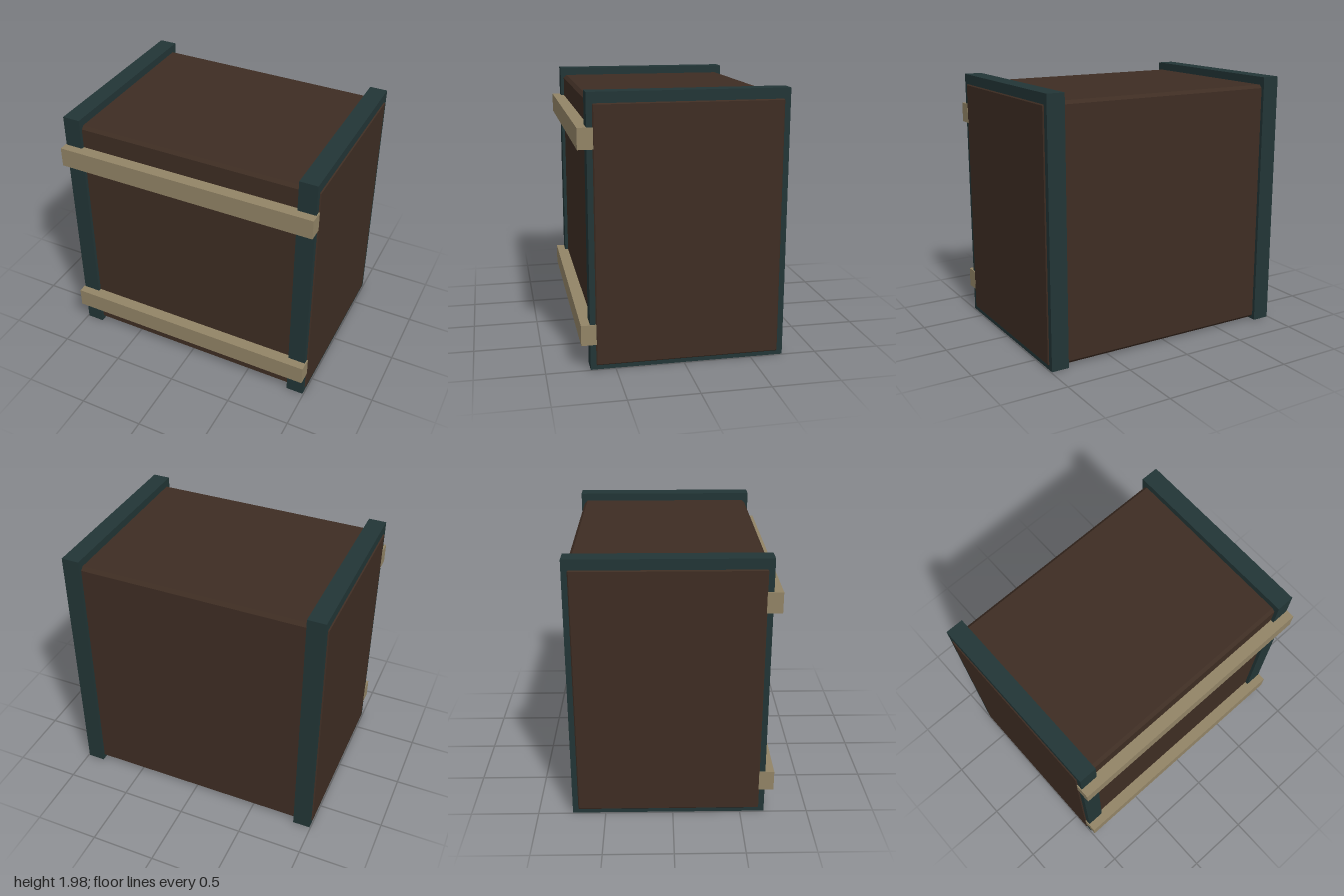
import * as THREE from 'three';
import { ConvexGeometry } from 'three/addons/geometries/ConvexGeometry.js';

const material = (name, color) => {
  const m = new THREE.MeshStandardMaterial({ color });
  m.name = name;
  return m;
};

// Box with every edge cut off by a flat chamfer
function chamferedBox(w, h, d, c) {
  const points = [];
  for (const sx of [-1, 1]) for (const sy of [-1, 1]) for (const sz of [-1, 1]) {
    for (let axis = 0; axis < 3; axis++) {
      const half = [w / 2, h / 2, d / 2].map((v, i) => (i === axis ? v : v - c));
      points.push(new THREE.Vector3(sx * half[0], sy * half[1], sz * half[2]));
    }
  }
  return new ConvexGeometry(points);
}

export function createModel() {
  const model = new THREE.Group();
  model.name = 'crate';
  const brown = material('dark brown wood', 0x3e2d23);
  const teal = material('dark teal metal', 0x223536);
  const tan = material('tan wood', 0x928466);

  const add = (name, geometry, mat, x, y, z) => {
    const mesh = new THREE.Mesh(geometry, mat);
    mesh.name = name;
    mesh.position.set(x, y, z);
    model.add(mesh);
  };

  // Chamfered crate body
  add('body', chamferedBox(2, 1.9, 1.375, 0.024), brown, 0, 0.965, -0.0325);

  // Raised end frames, just inside the body's end faces
  for (const [side, s] of [['left', 1], ['right', -1]]) {
    add(side + 'EndFrame', new THREE.BoxGeometry(0.135, 1.975, 1.425), teal, s * 0.9245, 0.9875, -0.0325);
  }

  // Horizontal slats across the front
  for (const [name, y] of [['lowerSlat', 0.265], ['upperSlat', 1.665]]) {
    add(name, new THREE.BoxGeometry(2, 0.15, 0.11), tan, 0, y, 0.69);
  }
  return model;
}
